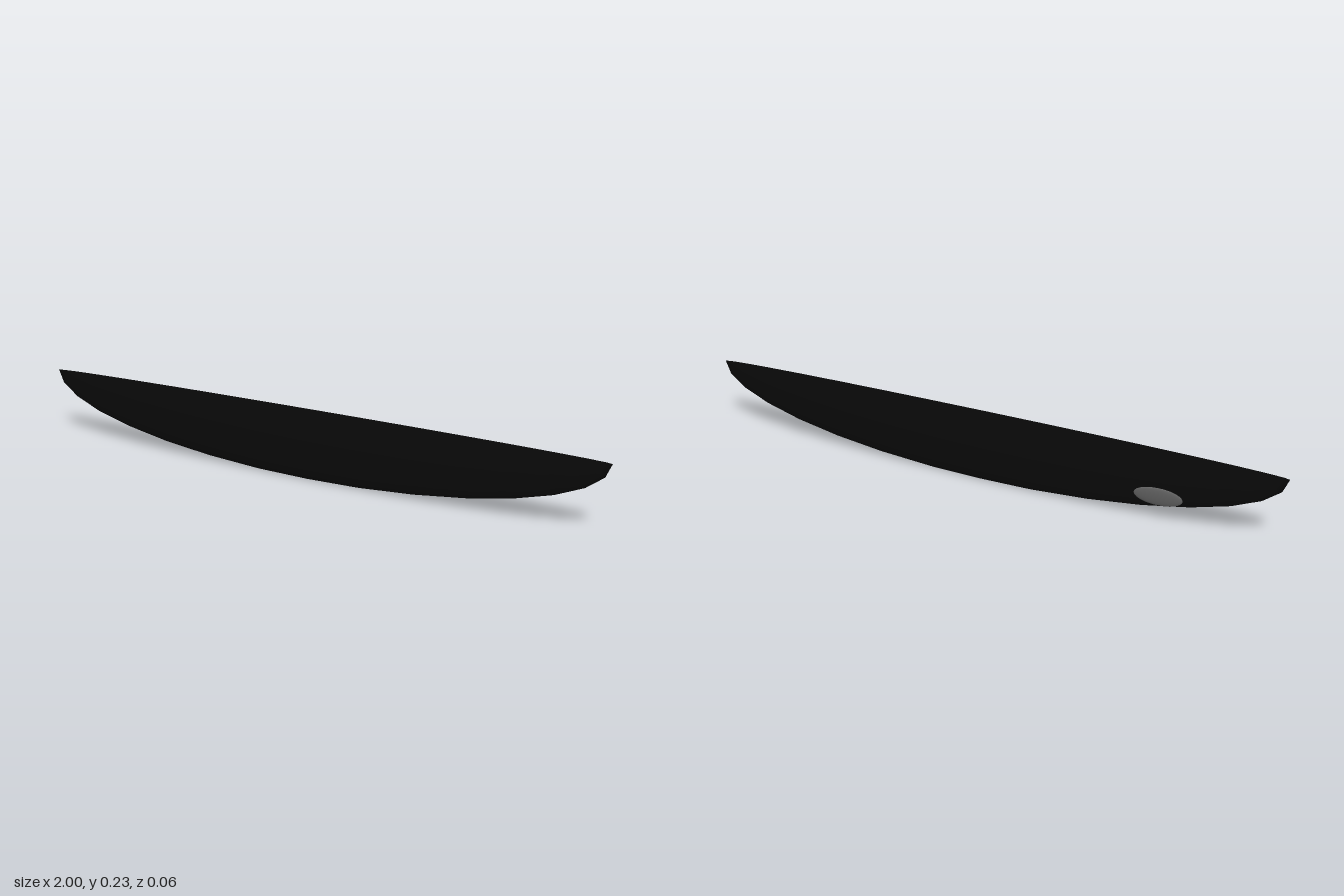
import * as THREE from 'three';

const HEIGHT = 0.226;
const HALF_WIDTH = 0.03;

export function createModel() {
  const black = new THREE.MeshStandardMaterial({ color: 0x0a0a0a, side: THREE.DoubleSide });
  black.name = 'hullBlack';
  const grey = new THREE.MeshStandardMaterial({ color: 0x666666 });
  grey.name = 'patchGrey';

  const model = new THREE.Group();
  model.name = 'hullModel';

  // Slender open shell: the lower half of a stretched sphere
  const shell = new THREE.SphereGeometry(1, 32, 8, 0, Math.PI * 2, Math.PI / 2, Math.PI / 2);
  shell.scale(1, HEIGHT, HALF_WIDTH);
  shell.translate(0, HEIGHT, 0);
  const hull = new THREE.Mesh(shell, black);
  hull.name = 'hull';
  model.add(hull);

  // Flattened oval set through the back wall, showing inside and out
  const oval = new THREE.SphereGeometry(1, 24, 12);
  oval.scale(0.078, 0.032, 0.005);
  const patch = new THREE.Mesh(oval, grey);
  patch.name = 'ovalPatch';
  patch.position.set(-0.61, 0.086, -0.0155);
  patch.rotation.set(-0.165, 0.037, 0);
  model.add(patch);

  return model;
}
